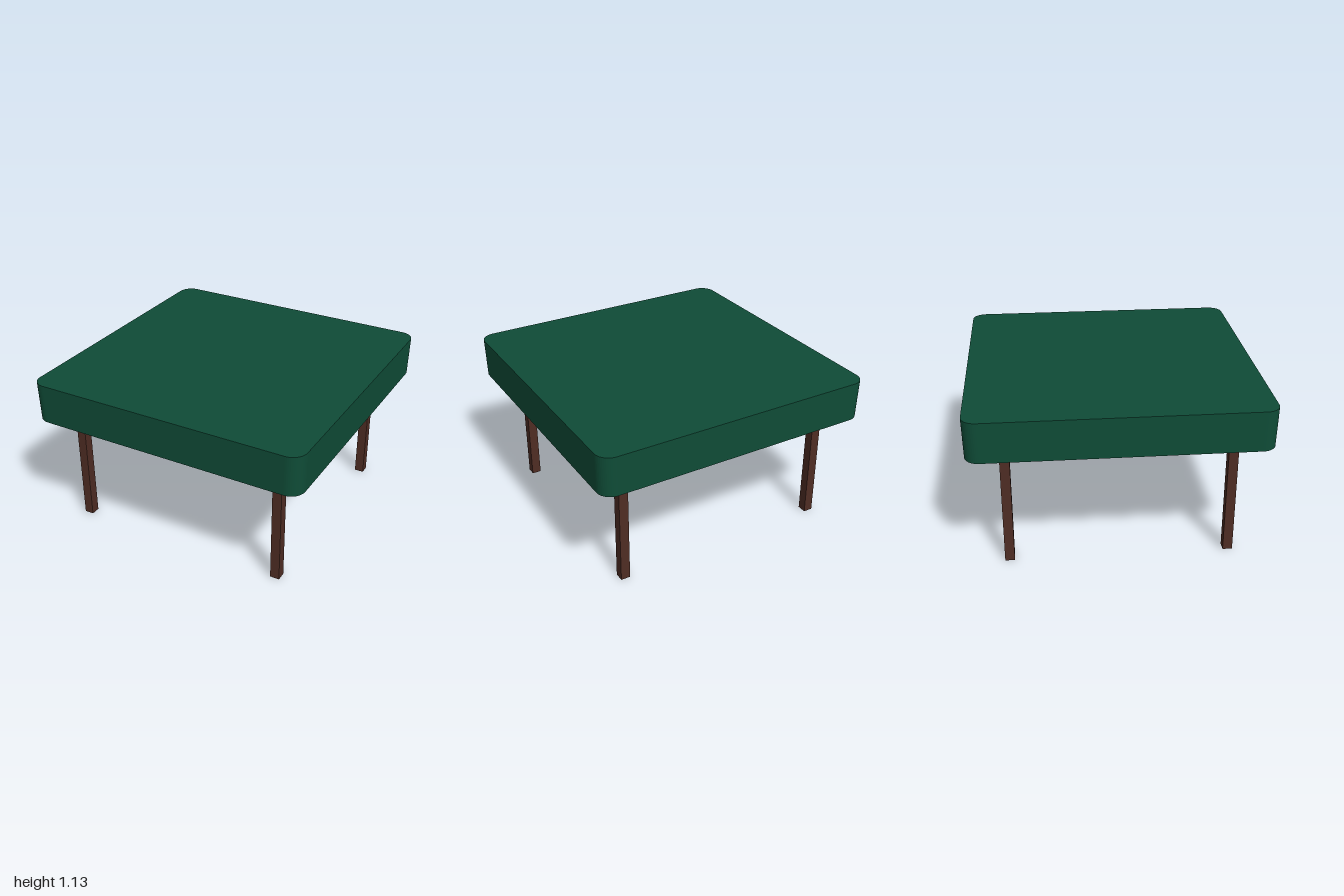
import * as THREE from 'three';

// Rounded square outline, half-size h and corner radius r
function roundedSquare(h, r, PathType = THREE.Shape) {
  const p = new PathType();
  p.moveTo(h, -h + r);
  p.lineTo(h, h - r);
  p.absarc(h - r, h - r, r, 0, Math.PI / 2);
  p.lineTo(-h + r, h);
  p.absarc(-h + r, h - r, r, Math.PI / 2, Math.PI);
  p.lineTo(-h, -h + r);
  p.absarc(-h + r, -h + r, r, Math.PI, Math.PI * 1.5);
  p.lineTo(h - r, -h);
  p.absarc(h - r, -h + r, r, Math.PI * 1.5, Math.PI * 2);
  return p;
}

// Horizontal slab from y0 to y1, optionally hollowed
function slab(name, material, y0, y1, outer, inner) {
  const shape = roundedSquare(...outer);
  if (inner) shape.holes.push(roundedSquare(...inner, THREE.Path));
  const geometry = new THREE.ExtrudeGeometry(shape, {
    depth: y1 - y0, bevelEnabled: false, curveSegments: 6,
  });
  geometry.rotateX(-Math.PI / 2).translate(0, y0, 0);
  const mesh = new THREE.Mesh(geometry, material);
  mesh.name = name;
  return mesh;
}

export function createModel() {
  const model = new THREE.Group();
  model.name = 'coveredTable';
  const cloth = new THREE.MeshStandardMaterial({ color: 0x0f4c37 });
  cloth.name = 'greenCloth';
  const wood = new THREE.MeshStandardMaterial({ color: 0x4f2d24 });
  wood.name = 'darkWood';

  // Cloth cover: flat top and a hanging skirt, drawn in slightly at the hem
  const top = slab('clothTop', cloth, 1.115, 1.13, [1, 0.1]);
  const skirt = slab('clothSkirt', cloth, 0.85, 1.115, [1, 0.1], [0.985, 0.085]);
  const pos = skirt.geometry.attributes.position;
  for (let i = 0; i < pos.count; i++) {
    const k = 1 - 0.005 * (1.115 - pos.getY(i)) / 0.265;
    pos.setX(i, pos.getX(i) * k);
    pos.setZ(i, pos.getZ(i) * k);
  }
  model.add(top, skirt);

  // Wooden board with a raised rim underneath
  model.add(slab('tableBoard', wood, 1.02, 1.11, [0.97, 0.07]));
  model.add(slab('boardRim', wood, 0.96, 1.02, [0.97, 0.07], [0.91, 0.01]));

  // Four square legs
  const legGeometry = new THREE.BoxGeometry(0.066, 1.03, 0.066);
  for (const x of [-0.79, 0.753]) {
    for (const z of [-0.75, 0.75]) {
      const leg = new THREE.Mesh(legGeometry, wood);
      leg.name = (z > 0 ? 'front' : 'back') + (x > 0 ? 'Left' : 'Right') + 'Leg';
      leg.position.set(x, 0.515, z);
      model.add(leg);
    }
  }
  return model;
}
